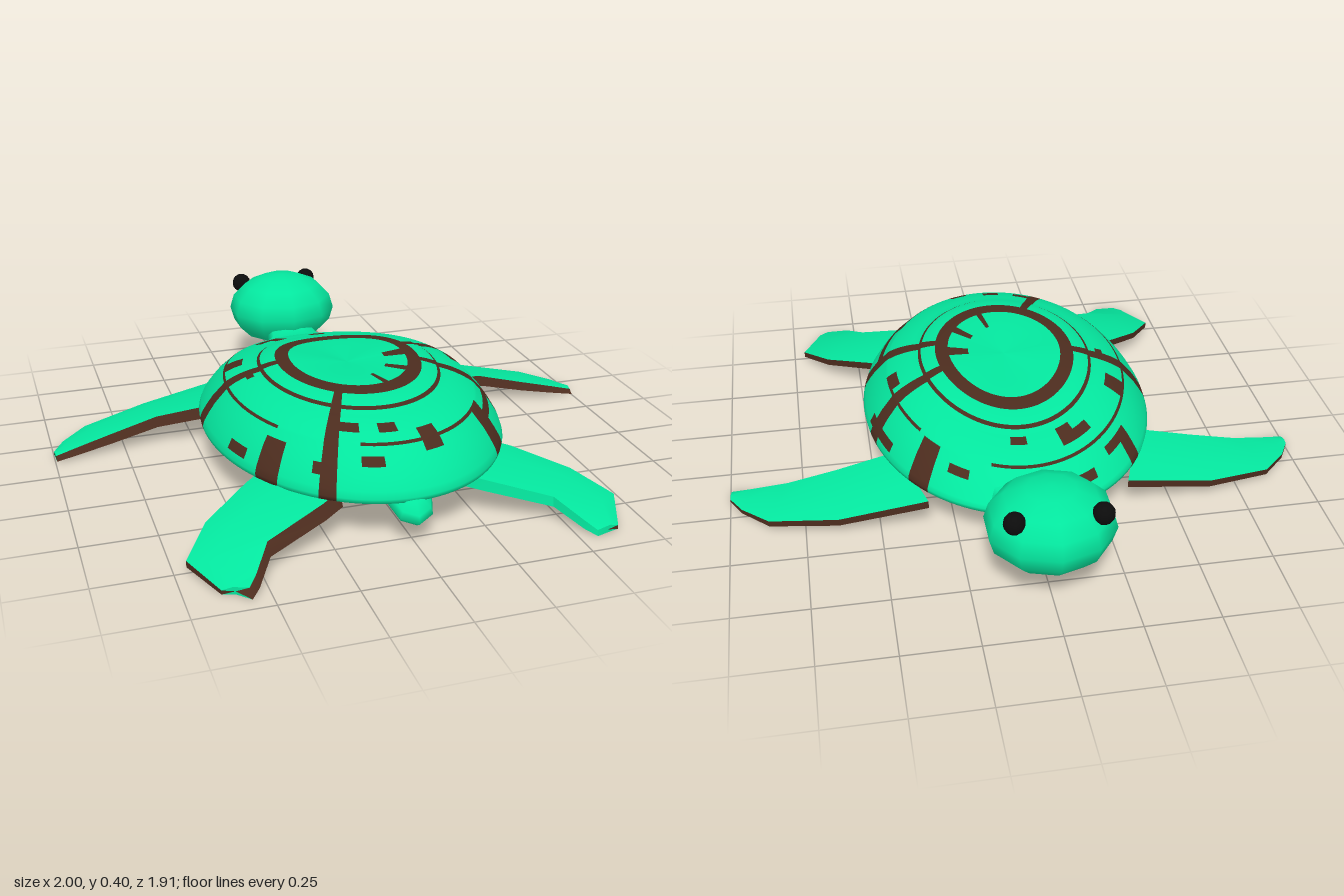
import * as THREE from 'three';
import { toCreasedNormals } from 'three/addons/utils/BufferGeometryUtils.js';

const green = new THREE.MeshStandardMaterial({ color: 0x04e69e });
const brown = new THREE.MeshStandardMaterial({ color: 0x4c2c1e });
const black = new THREE.MeshStandardMaterial({ color: 0x0c0c0c });

// Skin a list of closed loops; isBrown(row, column) chooses the colour of each quad.
function loft(rows, isBrown, flip = false) {
  const n = rows[0].length;
  const quads = [[], []];
  for (let i = 0; i < rows.length - 1; i++) {
    for (let j = 0; j < n; j++) {
      const k = (j + 1) % n;
      const a = i * n + j, c = i * n + k, b = a + n, d = c + n;
      const target = quads[isBrown(i, j) ? 1 : 0];
      if (flip) target.push(a, b, c, c, b, d);
      else target.push(a, c, b, c, d, b);
    }
  }
  const geo = new THREE.BufferGeometry();
  geo.setAttribute('position', new THREE.Float32BufferAttribute(rows.flat(2), 3));
  geo.setIndex([...quads[0], ...quads[1]]);
  geo.addGroup(0, quads[0].length, 0);
  geo.addGroup(quads[0].length, quads[1].length, 1);
  geo.computeVertexNormals();
  return geo;
}

function add(group, name, geo, material) {
  const mesh = new THREE.Mesh(geo, material);
  mesh.name = name;
  group.add(mesh);
  return mesh;
}

// Repeatable value 0..1 for the shell flecks
const hash = (a, b) => {
  const s = Math.sin(a * 127.1 + b * 311.7) * 43758.5453;
  return s - Math.floor(s);
};

// Shell rings from the crown over the rim to the belly: [radius, height]
const SHELL = [
  [0.001, 0.352], [0.12, 0.36], [0.25, 0.367], [0.39, 0.372], [0.48, 0.367], [0.53, 0.361],
  [0.58, 0.353], [0.6, 0.345], [0.65, 0.338], [0.7, 0.329], [0.76, 0.315], [0.815, 0.298],
  [0.83, 0.291], [0.87, 0.268], [0.91, 0.245], [0.95, 0.215], [0.985, 0.185], [1, 0.163],
  [0.995, 0.148], [0.96, 0.136], [0.84, 0.115], [0.73, 0.085], [0.65, 0.055], [0.5, 0.042],
  [0.38, 0.034], [0.2, 0.03], [0.001, 0.03],
];
const RIM = 17;

// Radial stripes: [angle in degrees, inner radius, outer radius, half width in degrees]
const SPOKES = [
  [185, 0.48, 1, 3], [119, 0.48, 1, 3], [344, 0.48, 1, 3], [15, 0.48, 1, 3.2],
  [317, 0.84, 1, 4], [222, 0.86, 1, 4], [40, 0.84, 1, 4], [142, 0.86, 1, 4],
  [2, 0.24, 0.4, 6], [38, 0.24, 0.4, 5], [75, 0.24, 0.4, 3],
];

function shellGeometry() {
  const n = 120;
  const rows = SHELL.map(([u, y], i) => Array.from({ length: n }, (_, j) => {
    const a = (j / n) * Math.PI * 2;
    const front = Math.max(0, -Math.sin(a)) ** 2;
    const drop = i < RIM ? 0.12 * front * u * Math.sqrt(1 - u) : 0;
    return [0.51 * u * Math.cos(a), y - drop, 0.1 + 0.68 * u * Math.sin(a)];
  }));
  return loft(rows, (i, j) => {
    const deg = ((j + 0.5) / n) * 360;
    const u = (SHELL[i][0] + SHELL[i + 1][0]) / 2;
    const onSpoke = SPOKES.some(([s, inner, outer, w]) =>
      Math.abs(((deg - s + 540) % 360) - 180) < w && u > inner && u < outer);
    if (onSpoke) return true;
    if (i >= RIM) {
      const end = Math.sin(deg * Math.PI / 180);
      if (i === 18) return Math.abs(end) > 0.45;          // underside of the rim
      if (i === 19) return end < -0.6;                    // throat
      return i === 22 || i === 24;                        // belly rings
    }
    if (i === 3 || i === 6) return true;                  // main rings
    if (i === 11) return hash(Math.floor(j / 12), 5) < 0.6; // broken outer ring
    return i > 6 && i < 16 && hash(Math.floor(j / 3), i) < 0.07;
  });
}

// Flipper stations: [leading x, z, trailing x, z, height, thickness, leading edge droop]
const FRONT = [
  [0.34, -0.42, 0.44, -0.15, 0.122, 0.04, 0.01], [0.64, -0.4, 0.63, -0.175, 0.095, 0.035, 0.035],
  [0.87, -0.33, 0.8, -0.165, 0.055, 0.03, 0.025], [0.96, -0.24, 0.92, -0.145, 0.034, 0.022, 0.01],
  [1, -0.17, 0.995, -0.13, 0.022, 0.015, 0],
];
const HIND = [
  [0.36, 0.38, 0.2, 0.64, 0.13, 0.04, 0], [0.46, 0.47, 0.27, 0.69, 0.12, 0.04, 0],
  [0.62, 0.6, 0.47, 0.78, 0.075, 0.035, 0], [0.71, 0.74, 0.53, 0.88, 0.035, 0.03, 0],
  [0.64, 0.9, 0.56, 0.915, 0.018, 0.02, 0],
];

function flipperGeometry(stations, side, edgeSlope, brownTrailing) {
  const rows = stations.map(([lx, lz, tx, tz, y, t, droop]) => {
    const at = (f, h) => [side * (lx + (tx - lx) * f), y + h * t - droop * (1 - f), lz + (tz - lz) * f];
    // loop: over the top to the sloped trailing edge and back underneath
    const loop = [at(0, 0.3), at(0.4, 0.75), at(1, 0.45), at(1, -0.5), at(0.5, -0.5), at(0, -0.4)];
    loop[3][2] += edgeSlope;
    return loop;
  });
  // close both ends at the middle of the section
  const cap = ([lx, lz, tx, tz, y]) =>
    Array.from({ length: 6 }, () => [side * (lx + tx) / 2, y, (lz + tz) / 2]);
  rows.unshift(cap(stations[0]));
  rows.push(cap(stations.at(-1)));
  const geo = loft(rows, (i, j) => j === 5 || (j === 2 && brownTrailing), side < 0);
  return toCreasedNormals(geo, 0.6);
}

export function createModel() {
  const turtle = new THREE.Group();
  turtle.name = 'turtle';

  add(turtle, 'shell', shellGeometry(), [green, brown]);

  // Flippers
  for (const side of [1, -1]) {
    const label = side > 0 ? 'left' : 'right';
    const hindSlope = side > 0 ? 0.005 : 0.035;
    add(turtle, label + 'FrontFlipper', flipperGeometry(FRONT, side, 0.018, true), [green, brown]);
    add(turtle, label + 'HindFlipper', flipperGeometry(HIND, side, hindSlope, side < 0), [green, brown]);
  }

  // Neck: oval sections [z, half width, height, half height] with a brown underside
  const neck = [[-0.38, 0.2, 0.2, 0.06], [-0.5, 0.16, 0.185, 0.045], [-0.58, 0.105, 0.19, 0.038], [-0.66, 0.09, 0.215, 0.04]];
  const neckRows = neck.map(([z, rx, y, ry]) => Array.from({ length: 10 }, (_, j) => {
    const a = (j / 10) * Math.PI * 2;
    return [rx * Math.cos(a), y + ry * Math.sin(a), z];
  }));
  add(turtle, 'neck', loft(neckRows, (i, j) => j >= 5, true), [green, brown]);

  // Head and eyes
  const head = add(turtle, 'head', new THREE.SphereGeometry(1, 10, 8), green);
  head.rotation.y = Math.PI / 2;
  head.scale.set(0.195, 0.14, 0.21);
  head.position.set(0, 0.265, -0.765);
  for (const [name, x, y] of [['leftEye', 0.128, 0.349], ['rightEye', -0.143, 0.352]]) {
    const eye = add(turtle, name, new THREE.SphereGeometry(0.036, 12, 8), black);
    eye.position.set(x, y, -0.858);
  }

  // Tail
  const tail = add(turtle, 'tail', new THREE.SphereGeometry(1, 8, 6), green);
  tail.scale.set(0.075, 0.045, 0.105);
  tail.rotation.x = 0.45;
  tail.position.set(0, 0.135, 0.725);

  return turtle;
}
